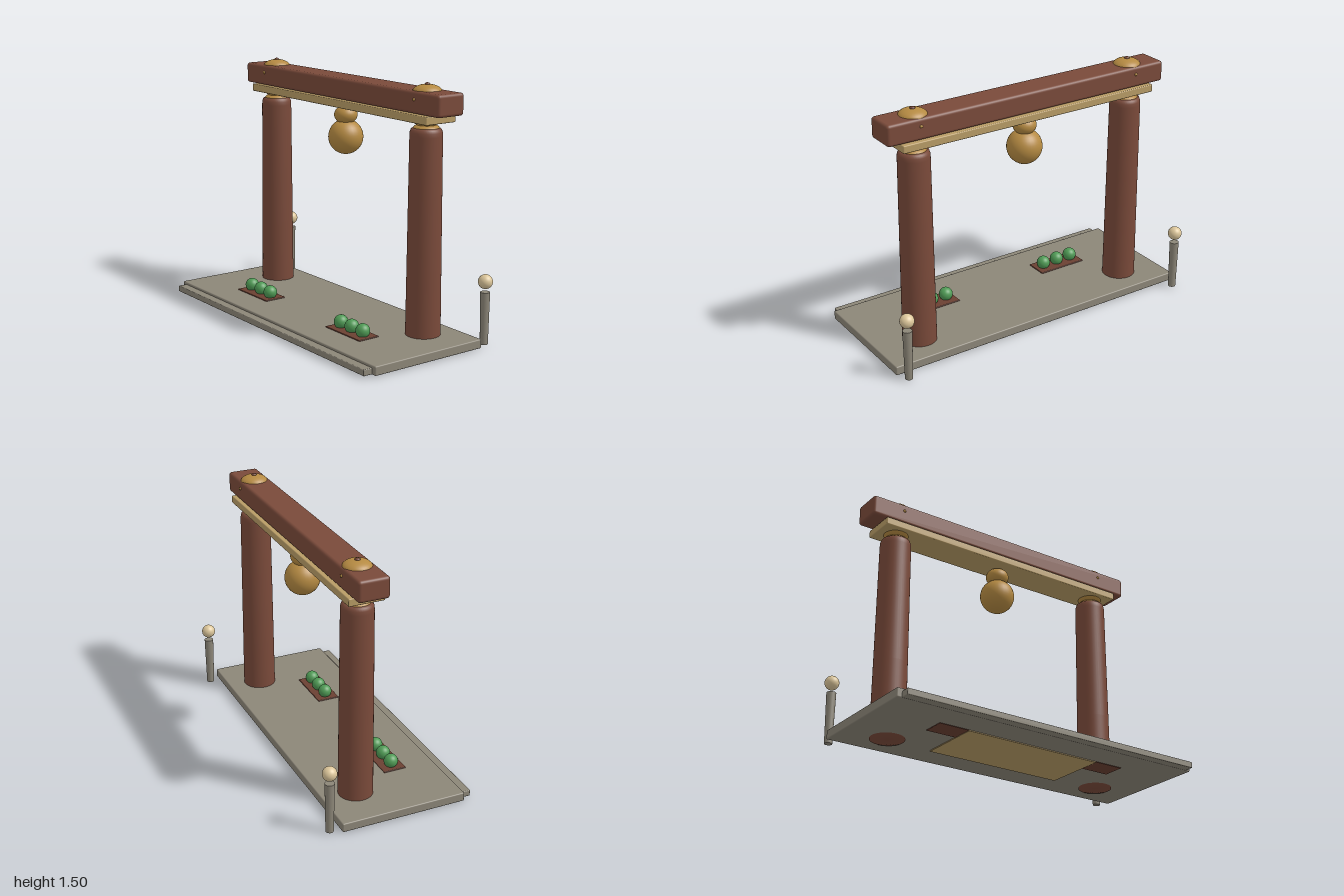
import * as THREE from 'three';
import { RoundedBoxGeometry } from 'three/addons/geometries/RoundedBoxGeometry.js';

const mat = (color) => new THREE.MeshStandardMaterial({ color });

export function createModel() {
  const root = new THREE.Group();
  const stone = mat(0x8c8678), wood = mat(0x7a4a3a), darkWood = mat(0x6b4032);
  const gold = mat(0xb58a42), board = mat(0xb89c66), green = mat(0x4f9a55), cream = mat(0xdcc69a);

  const add = (name, geometry, material, x, y, z) => {
    const mesh = new THREE.Mesh(geometry, material);
    mesh.name = name;
    mesh.position.set(x, y, z);
    root.add(mesh);
    return mesh;
  };
  // Box given by its limits on each axis
  const block = (name, material, [x0, x1], [y0, y1], [z0, z1], r) =>
    add(name, new RoundedBoxGeometry(x1 - x0, y1 - y0, z1 - z0, 3, r), material,
      (x0 + x1) / 2, (y0 + y1) / 2, (z0 + z1) / 2);
  const ball = (name, material, r, x, y, z, squash = 1) => {
    const mesh = add(name, new THREE.SphereGeometry(r, 32, 20), material, x, y, z);
    mesh.scale.y = squash;
    return mesh;
  };

  // Platform with front step and underside plate
  block('platform', stone, [-1, 1], [0.006, 0.06], [-0.36, 0.4], 0.007);
  block('frontStep', stone, [-0.97, 0.97], [0.008, 0.045], [0.3, 0.455], 0.005);
  block('undersidePlate', board, [-0.44, 0.44], [0, 0.03], [-0.18, 0.22], 0.002);

  // Crossbeam and the board beneath it
  const gateZ = -0.157;
  block('crossbeam', wood, [-0.935, 0.935], [1.33, 1.455], [-0.25, -0.065], 0.018);
  block('tieBoard', board, [-0.85, 0.85], [1.282, 1.328], [-0.265, -0.053], 0.006);

  // Hanging bell
  ball('bellNeck', gold, 0.07, 0, 1.227, gateZ, 0.8);
  ball('bell', gold, 0.105, 0, 1.095, gateZ);

  // Tapered pillar with a softened top edge
  const pillar = new THREE.LatheGeometry([
    [0, 0], [0.1, 0], [0.101, 0.06], [0.098, 0.45], [0.0925, 1.2],
    [0.091, 1.222], [0.085, 1.238], [0.073, 1.246], [0, 1.246],
  ].map(([r, y]) => new THREE.Vector2(r, y)), 40);

  for (const s of [-1, 1]) {
    const px = s * 0.73;
    add('pillar', pillar, wood, px, 0.002, gateZ);
    ball('pillarCrown', gold, 0.075, px, 1.243, gateZ, 0.37);
    ball('capital', gold, 0.078, px, 1.297, gateZ, 0.6);

    // Domed beam cap with a small knob, and pins on both beam faces
    ball('beamCap', gold, 0.083, px, 1.446, gateZ - 0.003, 0.5);
    ball('capKnob', darkWood, 0.016, px, 1.487, gateZ - 0.003, 0.6);
    for (const z of [-0.25, -0.065]) ball('beamPin', gold, 0.009, px, 1.41, z);

    // Lantern post behind the platform
    add('lanternPost', new THREE.CylinderGeometry(0.028, 0.023, 0.307, 24), stone, s * 0.955, 0.161, -0.42);
    ball('lantern', cream, 0.042, s * 0.955, 0.375, -0.42);

    // Tray with three green balls
    const tx = s * 0.467;
    block('tray', darkWood, [tx - 0.16, tx + 0.16], [0.003, 0.066], [0.08, 0.22], 0.004);
    for (const i of [-1, 0, 1]) ball('greenBall', green, 0.042, tx + i * 0.102, 0.095, 0.15);
  }
  return root;
}
